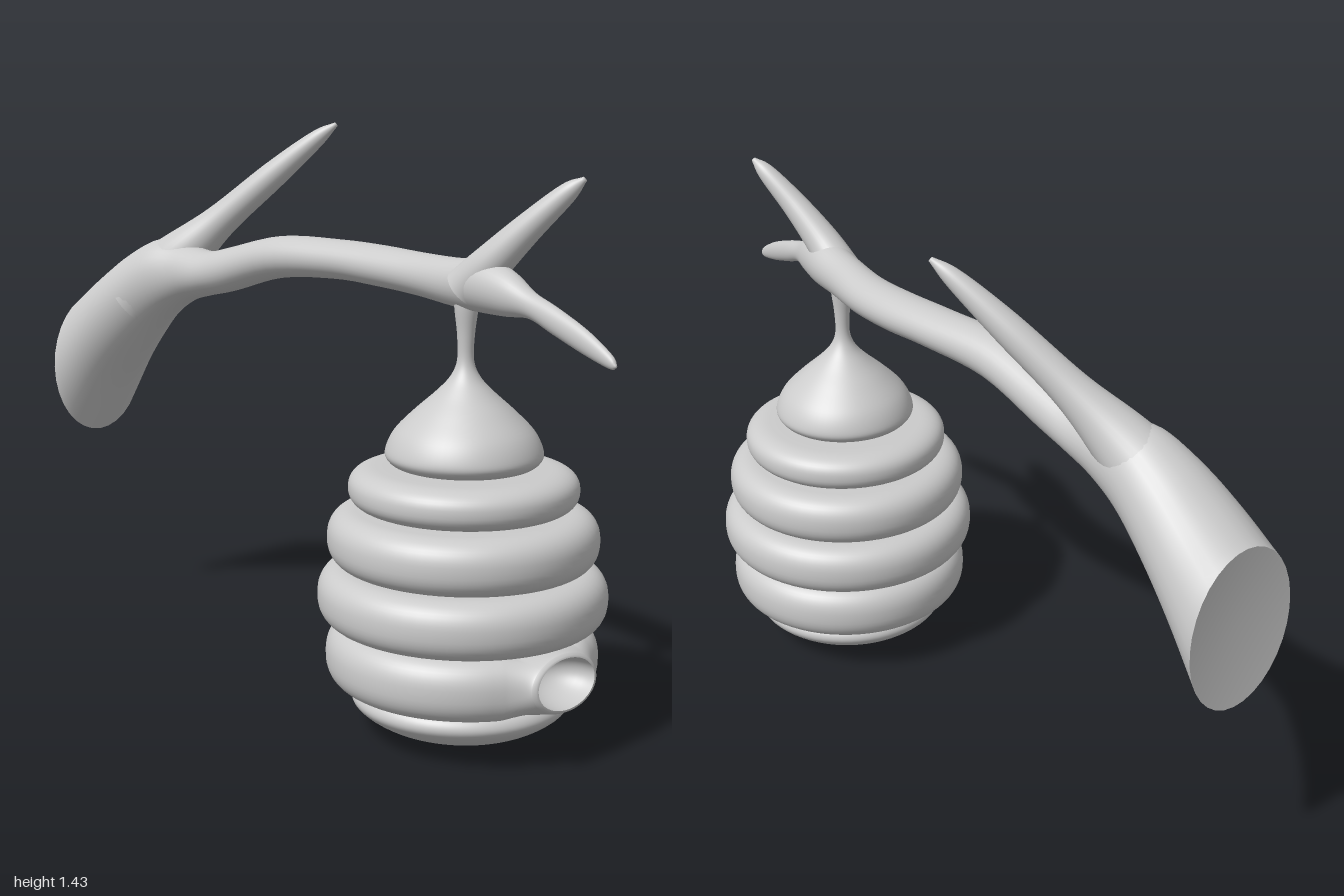
import * as THREE from 'three';
import { mergeVertices } from 'three/addons/utils/BufferGeometryUtils.js';

const V = (x, y, z) => new THREE.Vector3(x, y, z);
const material = new THREE.MeshStandardMaterial({ color: 0xcccccc, side: THREE.DoubleSide });

function mesh(name, geometry) {
  const m = new THREE.Mesh(geometry, material);
  m.name = name;
  return m;
}

// Triangles between successive rows of points; closed rows wrap around.
function rowTriangles(rows, closed = true) {
  const out = [];
  const n = rows[0].length;
  for (let i = 0; i < rows.length - 1; i++) {
    for (let j = 0; j < (closed ? n : n - 1); j++) {
      const k = (j + 1) % n;
      const a = rows[i][j], b = rows[i][k], c = rows[i + 1][j], d = rows[i + 1][k];
      for (const p of [a, b, c, b, d, c]) out.push(p);
    }
  }
  return out;
}

// Welded, smooth-shaded surface.
function smooth(points) {
  const g = mergeVertices(new THREE.BufferGeometry().setFromPoints(points), 1e-5);
  g.computeVertexNormals();
  return g;
}

const SIDES = 32;
const ring = (c, e1, e2) => Array.from({ length: SIDES }, (_, j) => {
  const a = (j / SIDES) * Math.PI * 2;
  return c.clone().addScaledVector(e1, Math.cos(a)).addScaledVector(e2, Math.sin(a));
});

// Main branch: upright sections given as x, top, bottom, back, front
function addBranch(group) {
  const stations = [
    [-1, 0.93, 0.52, -0.115, 0.19], [-0.9, 1.0, 0.67, -0.11, 0.165],
    [-0.8, 1.065, 0.785, -0.1, 0.135], [-0.7, 1.11, 0.88, -0.09, 0.1],
    [-0.6, 1.1, 0.94, -0.08, 0.07], [-0.5, 1.09, 0.968, -0.072, 0.063],
    [-0.4, 1.11, 0.99, -0.07, 0.06], [-0.2, 1.155, 1.045, -0.075, 0.052],
    [0, 1.16, 1.06, -0.1, 0.03], [0.15, 1.157, 1.055, -0.11, 0.02],
    [0.3, 1.152, 1.048, -0.1, 0.022], [0.45, 1.155, 1.04, -0.07, 0.045],
    [0.55, 1.165, 1.038, -0.058, 0.058], [0.64, 1.145, 1.04, -0.03, 0.06],
    [0.72, 1.107, 1.045, 0.0, 0.055], [0.8, 1.082, 1.02, 0.015, 0.06],
    [0.9, 1.045, 0.99, 0.033, 0.068], [0.98, 1.004, 0.972, 0.052, 0.074], [1, 0.983, 0.977, 0.064, 0.07],
  ];
  const centre = new THREE.CatmullRomCurve3(
    stations.map(([x, t, b, k, f]) => V(x, (t + b) / 2, (k + f) / 2)), false, 'catmullrom');
  const half = new THREE.CatmullRomCurve3(
    stations.map(([x, t, b, k, f]) => V(x, (t - b) / 2, (f - k) / 2)), false, 'catmullrom');
  const rows = [];
  for (let i = 0; i <= 90; i++) {
    const s = half.getPoint(i / 90);
    rows.push(ring(centre.getPoint(i / 90), V(0, s.y, 0), V(0, 0, s.z)));
  }
  const tip = rows[90].map(() => V(1, 0.98, 0.067));
  group.add(mesh('mainBranch', smooth(rowTriangles([...rows, tip]))));
  // Shallow hollow at the cut end
  const middle = rows[0].map(() => V(-0.985, 0.725, 0.037));
  group.add(mesh('branchCutEnd', smooth(rowTriangles([middle, rows[0]]))));
}

// Tapering side twig through points x, y, z, radius
function twig(name, path) {
  const curve = new THREE.CatmullRomCurve3(path.map(p => V(p[0], p[1], p[2])), false, 'catmullrom');
  const radii = new THREE.CatmullRomCurve3(path.map(p => V(p[3], 0, 0)), false, 'catmullrom');
  const rows = [];
  for (let i = 0; i <= 40; i++) {
    const d = curve.getTangent(i / 40);
    const e1 = V(0, 0, 1).cross(d).normalize();
    const e2 = d.clone().cross(e1);
    const r = radii.getPoint(i / 40).x;
    rows.push(ring(curve.getPoint(i / 40), e1.multiplyScalar(r), e2.multiplyScalar(r)));
  }
  const end = curve.getPoint(1);
  rows.push(rows[40].map(() => end.clone()));
  return mesh(name, smooth(rowTriangles(rows)));
}

// Outline of one hive tier: flat underside, rounded rim, flat top (v from 0 to 1)
function tierPoint(R, y0, y1, v) {
  const w = 0.07, inner = 0.12, h = (y1 - y0) / 2, edge = 0.15;
  if (v < edge) return [inner + (R - w - inner) * v / edge, y0];
  if (v > 1 - edge) return [inner + (R - w - inner) * (1 - v) / edge, y1];
  const a = ((v - 0.5) / (0.5 - edge)) * Math.PI / 2;
  const c = Math.max(0, Math.cos(a));
  const s = Math.sin(a);
  return [R - w + w * Math.pow(c, 0.85), (y0 + y1) / 2 + h * Math.sign(s) * Math.pow(Math.abs(s), 0.85)];
}

function tier(R, y0, y1) {
  const pts = Array.from({ length: 33 }, (_, i) => new THREE.Vector2(...tierPoint(R, y0, y1, i / 32)));
  return mesh('hiveTier', new THREE.LatheGeometry(pts, 64));
}

// Tier whose left side swells into a lip around an oval hole
function addEntranceTier(hive) {
  const gap = 0.48, NV = 32, NP = 20;
  const S = (phi, v) => {
    const [r, y] = tierPoint(0.328, 0.13, 0.282, v);
    return V(r * Math.cos(phi), y, -r * Math.sin(phi));
  };
  const rows = [];
  for (let i = 0; i <= NV; i++) {
    rows.push(Array.from({ length: 65 }, (_, j) => S(gap + (Math.PI * 2 - 2 * gap) * j / 64, i / NV)));
  }
  // Border of the gap, walked anticlockwise, in -1..1 coordinates
  const border = [];
  for (let i = 0; i < NV; i++) border.push([1, -1 + 2 * i / NV]);
  for (let i = 0; i < NP; i++) border.push([1 - 2 * i / NP, 1]);
  for (let i = 0; i < NV; i++) border.push([-1, 1 - 2 * i / NV]);
  for (let i = 0; i < NP; i++) border.push([-1 + 2 * i / NP, -1]);

  const oval = (a, hw, hh, push) => {
    const y = 0.215 + hh * Math.sin(a);
    return V(0.348 - 0.1 * (y - 0.14) + push, y, -hw * Math.cos(a));
  };
  const angles = border.map(([u, w]) => Math.atan2(w, u));
  const patch = [];
  for (let k = 0; k <= 12; k++) {
    const q = k / 12, m = q * q * (3 - 2 * q);
    patch.push(border.map(([u, w], j) => {
      const a = angles[j];
      const phi = THREE.MathUtils.lerp(u * gap, 0.34 * Math.cos(a), q);
      const v = THREE.MathUtils.lerp(0.5 + w / 2, 0.5 + 0.22 * Math.sin(a), q);
      return S(phi, v).lerp(oval(a, 0.108, 0.068, -0.008), m);
    }));
  }
  patch.push(angles.map(a => oval(a, 0.102, 0.064, -0.001)));
  patch.push(angles.map(a => oval(a, 0.095, 0.059, 0)));
  hive.add(mesh('entranceTier', smooth([...rowTriangles(rows, false), ...rowTriangles(patch)])));

  // Bowl inside the hole
  const bowl = [];
  for (let k = 0; k <= 10; k++) {
    const t = (k / 10) * Math.PI / 2;
    const s = k === 10 ? 0 : Math.cos(t);
    bowl.push(angles.map(a => oval(a, 0.095 * s, 0.059 * s, -0.1 * Math.sin(t))));
  }
  hive.add(mesh('entranceHollow', smooth(rowTriangles(bowl))));
}

function lathe(name, profile) {
  const curve = new THREE.SplineCurve(profile.map(p => new THREE.Vector2(p[0], p[1])));
  const pts = curve.getPoints(64).map(p => p.setX(Math.max(0, p.x)));
  return mesh(name, new THREE.LatheGeometry(pts, 64));
}

export function createModel() {
  const model = new THREE.Group();
  model.name = 'hiveOnBranch';

  const branch = new THREE.Group();
  branch.name = 'branch';
  addBranch(branch);
  branch.add(twig('lowerTwig', [
    [-0.8, 0.94, 0.03, 0.1], [-0.66, 1.055, -0.015, 0.075], [-0.55, 1.165, -0.08, 0.047],
    [-0.42, 1.295, -0.165, 0.037], [-0.32, 1.393, -0.233, 0.023], [-0.275, 1.433, -0.265, 0.006]]));
  branch.add(twig('upperTwig', [
    [0.5, 1.09, 0.01, 0.055], [0.57, 1.155, 0, 0.046], [0.65, 1.238, -0.03, 0.035],
    [0.73, 1.32, -0.07, 0.023], [0.765, 1.352, -0.088, 0.006]]));
  model.add(branch);

  const hive = new THREE.Group();
  hive.name = 'hive';
  hive.position.x = 0.49;
  // Hanging stem flowing into the pointed top
  hive.add(lathe('hiveTop', [
    [0, 0.664], [0.08, 0.664], [0.155, 0.667], [0.184, 0.685], [0.186, 0.71], [0.165, 0.752],
    [0.118, 0.8], [0.07, 0.843], [0.036, 0.88], [0.02, 0.92], [0.021, 0.98], [0.028, 1.04], [0.03, 1.08]]));
  hive.add(tier(0.275, 0.565, 0.664), tier(0.325, 0.425, 0.562), tier(0.348, 0.283, 0.424));
  addEntranceTier(hive);
  // Rounded bottom
  hive.add(lathe('hiveBase', [
    [0, 0.004], [0.06, 0.007], [0.13, 0.019], [0.2, 0.043], [0.25, 0.075], [0.265, 0.1],
    [0.25, 0.124], [0.21, 0.13], [0.1, 0.13]]));
  model.add(hive);
  return model;
}
